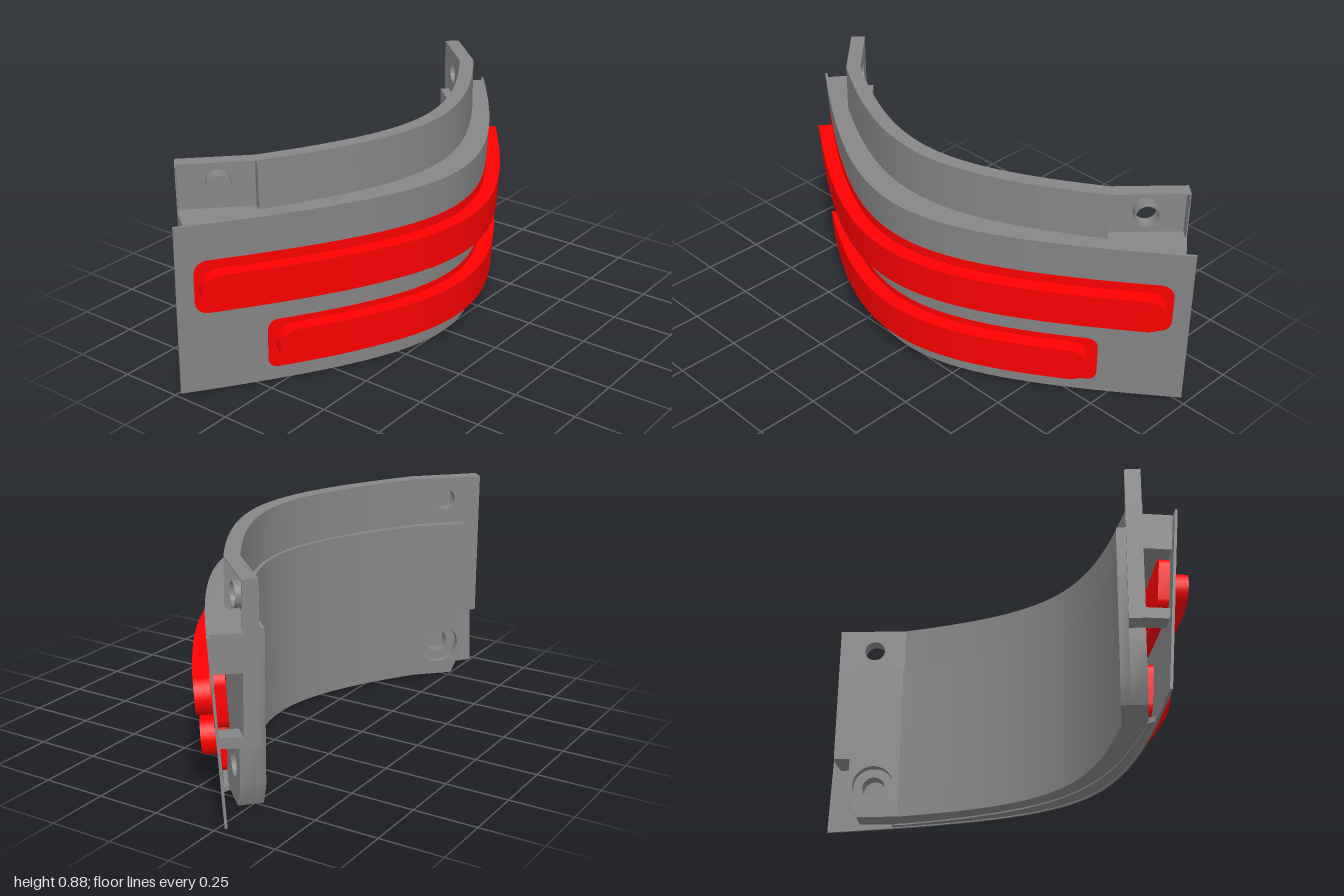
import * as THREE from 'three';
import { toCreasedNormals } from 'three/addons/utils/BufferGeometryUtils.js';

const H = 0.69; // height of the outer panel
const grey = new THREE.MeshStandardMaterial({ color: 0x868686 });
const red = new THREE.MeshStandardMaterial({ color: 0xff0000 });

// Plan curves: x as a function of z
const panelX = z => 0.298 + 0.453 - Math.hypot(0.453, 0.855 * z);
const KINK = 0.7, SLOPE = 1.04;
const bow = z => 0.192 + 0.467 - Math.hypot(0.467, 0.822 * z);
const wallX = z => Math.abs(z) < KINK ? bow(z) : bow(KINK) - SLOPE * (Math.abs(z) - KINK);

// Point on a plan curve pushed outward by d
function offset(curve, z, d) {
  const e = 1e-3, g = (curve(z + e) - curve(z - e)) / (2 * e), l = Math.hypot(1, g);
  return [curve(z) + d / l, z - d * g / l];
}
function wallPoint(z, y, d) {
  const [x, zz] = offset(wallX, z, d);
  return new THREE.Vector3(x, y, zz);
}
// The panel leans outward and widens a little toward its top
function panelPoint(u, y, d) {
  const [x, z] = offset(panelX, u, d);
  return new THREE.Vector3(x - 0.058 * (H - y), y, z * (1 - 0.036 * (H - y)));
}

// Skin over four-cornered sections ordered along +z:
// inner low, outer low, outer high, inner high
function loft(sections) {
  const pos = [], tri = (...p) => p.forEach(v => pos.push(v.x, v.y, v.z));
  for (let i = 0; i + 1 < sections.length; i++) {
    const s = sections[i], t = sections[i + 1];
    for (let j = 0; j < 4; j++) {
      const k = (j + 1) % 4;
      tri(s[j], s[k], t[k]);
      tri(s[j], t[k], t[j]);
    }
  }
  const [a, b, c, d] = sections[0], [e, f, g, h] = sections[sections.length - 1];
  tri(a, c, b); tri(a, d, c); tri(e, f, g); tri(e, g, h);
  const geo = new THREE.BufferGeometry();
  geo.setAttribute('position', new THREE.Float32BufferAttribute(pos, 3));
  return toCreasedNormals(geo, 0.5);
}
const range = (a, b, n) => Array.from({ length: n + 1 }, (_, i) => a + (b - a) * i / n);

// Plate following the panel, with corners rounded by r
function panelPlate(end, lo, hi, d0, d1, r = 0) {
  const ru = r * 0.8;
  let us = range(-end + ru, end - ru, 56);
  if (r) {
    const arc = range(0, Math.PI / 2, 10).slice(0, -1).map(t => end - ru + ru * Math.cos(t));
    us = [...arc.map(u => -u), ...us, ...arc.reverse()];
  }
  return loft(us.map(u => {
    const q = r ? Math.max(0, (Math.abs(u) - (end - ru)) / ru) : 0;
    const cut = Math.min(r * (1 - Math.sqrt(Math.max(0, 1 - q * q))), (hi - lo) / 2 - 0.001);
    const a = lo + cut, b = hi - cut;
    return [panelPoint(u, a, d0), panelPoint(u, a, d1), panelPoint(u, b, d1), panelPoint(u, b, d0)];
  }));
}

// Bridge between the inner wall and the panel
function bridge(v0, v1, lo, hi, n) {
  return loft(range(v0, v1, n).map(v => [
    wallPoint(0.9 * v, lo, -0.005), panelPoint(0.97 * v, lo, -0.004),
    panelPoint(0.97 * v, hi, -0.004), wallPoint(0.9 * v, hi, -0.005)]));
}

// Curved middle part of the inner wall
function wallStrip(lo, hi, depth) {
  return loft(range(-KINK, KINK, 48).map(z => {
    const d = -depth(z);
    return [wallPoint(z, lo, d), wallPoint(z, lo, 0), wallPoint(z, hi, 0), wallPoint(z, hi, d)];
  }));
}

// Flat plate cut from an outline, with round holes given as [x, y, radius]
function cutPlate(points, holes, depth) {
  const shape = new THREE.Shape(points.map(p => new THREE.Vector2(...p)));
  for (const [x, y, r] of holes) shape.holes.push(new THREE.Path().absarc(x, y, r, 0, Math.PI * 2, true));
  return toCreasedNormals(
    new THREE.ExtrudeGeometry(shape, { depth, bevelEnabled: false, curveSegments: 32 }), 0.5);
}
const rect = (x0, y0, x1, y1) => [[x0, y0], [x1, y0], [x1, y1], [x0, y1]];

export function createModel() {
  const model = new THREE.Group();
  const add = (name, geo, mat = grey, parent = model) => {
    const mesh = new THREE.Mesh(geo, mat);
    mesh.name = name;
    parent.add(mesh);
  };

  // Outer panel and its bridges
  add('outerPanel', panelPlate(1, 0, H, -0.01, 0));
  add('topLedge', bridge(-1, 1, 0.66, H - 0.001, 56));
  add('bottomFloor', bridge(-0.8, 0.8, 0.004, 0.024, 48));
  for (const [v0, v1] of [[0.94, 1], [-1, -0.94]]) {
    add('upperEndRib', bridge(v0, v1, 0.55, H - 0.002, 2));
    add('lowerEndRib', bridge(v0, v1, 0.28, 0.32, 2));
  }

  // Inner wall: tall band with a thicker pad below
  const T = 0.058, PAD = 0.093, FLOOR = 0.68, TOP = 0.875, END = 0.288;
  add('wallBand', wallStrip(0.6, TOP, () => T));
  add('wallPad', wallStrip(0.01, FLOOR, z => 0.07 + (PAD - 0.07) * (z / KINK) ** 2));

  // Flat end tabs: solid below, a thin open-fronted pocket above
  const upper = [0.138, 0.78], lower = [0.115, 0.148], R = 0.047, SKIN = 0.004;
  for (const s of [-1, 1]) {
    const tab = new THREE.Group();
    tab.name = s > 0 ? 'frontEndTab' : 'backEndTab';
    const along = new THREE.Vector3(-SLOPE, 0, s).normalize();
    const up = new THREE.Vector3(0, 1, 0);
    tab.quaternion.setFromRotationMatrix(
      new THREE.Matrix4().makeBasis(along, up, along.clone().cross(up)));
    tab.position.set(wallX(KINK), 0, s * KINK);
    model.add(tab);
    // Depth a to b is measured inward from the outer face
    const piece = (name, points, holes, a, b) =>
      add(name, cutPlate(points, holes, b - a).translate(0, 0, s > 0 ? a : -b), grey, tab);

    piece('tabBody', [[0, 0.01], [0.174, 0.01], [0.216, 0.1], [0.216, 0.28],
      [END, 0.28], [END, FLOOR], [0, FLOOR]], [[...lower, R]], 0, T);
    // The pad carries a wider counterbore round the lower hole
    piece('tabPad', [[0, 0.01], [0.174, 0.01], [0.216, 0.1], [0.216, FLOOR], [0, FLOOR]],
      [[...lower, 0.084]], T, PAD);
    piece('pocketBack', rect(0, FLOOR, END, TOP), [[...upper, R - SKIN]], T - SKIN, T);
    piece('pocketRoof', rect(0, TOP - SKIN, END, TOP), [], 0, T - SKIN);
    piece('pocketEnd', rect(END - SKIN, FLOOR, END, TOP - SKIN), [], 0, T - SKIN);

    // Hollow boss: closed into a locating pin at the front, open at the back
    const ring = Array.from({ length: 32 }, (_, i) => {
      const a = i / 32 * Math.PI * 2;
      return [upper[0] + R * Math.cos(a), upper[1] + R * Math.sin(a)];
    });
    piece('boss', ring, [[...upper, R - SKIN]], 0, T - SKIN);
    if (s > 0) piece('pinCap', ring, [], -SKIN, 0);
  }

  // Red raised bars on their rounded backing plates
  add('upperBacking', panelPlate(0.948, 0.33, 0.545, -0.05, 0.002, 0.05), red);
  add('upperBar', panelPlate(0.934, 0.365, 0.508, 0, 0.06, 0.0715), red);
  add('lowerBacking', panelPlate(0.73, 0.055, 0.26, -0.05, 0.002, 0.04), red);
  add('lowerBar', panelPlate(0.706, 0.093, 0.236, 0, 0.06, 0.0715), red);

  model.rotation.y = 0.018;
  return model;
}
